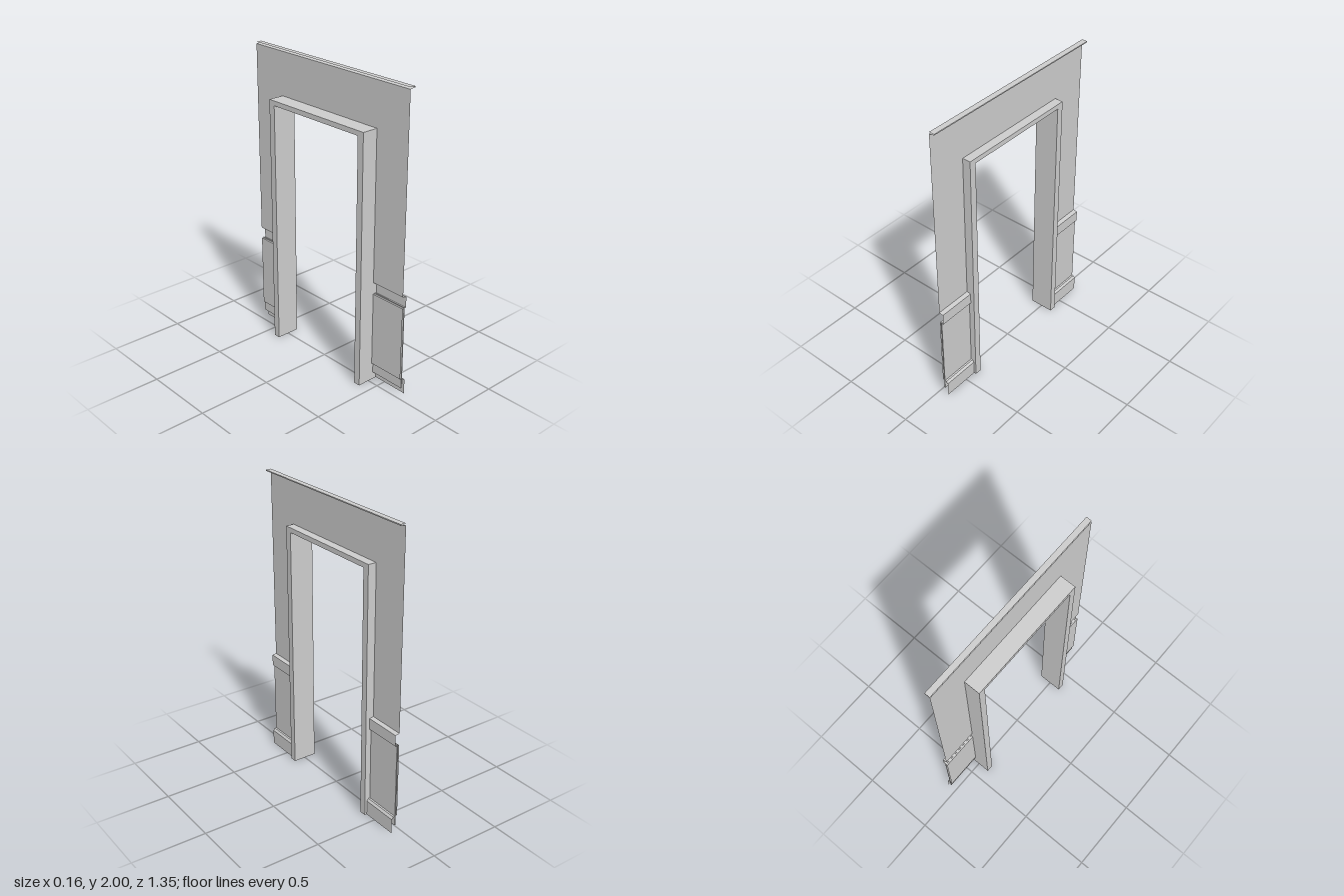
import * as THREE from 'three';

const material = new THREE.MeshStandardMaterial({ color: 0xcccccc, side: THREE.DoubleSide, flatShading: true });

// Skin a list of stations, each holding the same number of [x, y, z] points.
function skin(name, stations) {
  const pos = [];
  for (let i = 0; i < stations.length - 1; i++) {
    const a = stations[i], b = stations[i + 1];
    for (let j = 0; j < a.length - 1; j++) {
      pos.push(...a[j], ...b[j], ...a[j + 1], ...b[j], ...b[j + 1], ...a[j + 1]);
    }
  }
  const geometry = new THREE.BufferGeometry();
  geometry.setAttribute('position', new THREE.Float32BufferAttribute(pos, 3));
  geometry.computeVertexNormals();
  const mesh = new THREE.Mesh(geometry, material);
  mesh.name = name;
  return mesh;
}

// Run an [x, y] profile straight along z.
const run = (name, profile, z0, z1) =>
  skin(name, [z0, z1].map((z) => profile.map(([x, y]) => [x, y, z])));

export function createModel() {
  const group = new THREE.Group();
  const wallX = 0.026, halfLength = 0.674;
  const outerZ = 0.422, innerZ = 0.376, outerY = 1.7, innerY = 1.668, frameX = 0.082;

  // Wall profiles, from the top down
  const cornice = [[wallX, 2], [0.063, 2], [0.063, 1.993], [wallX, 1.988]];
  const chairRail = [[wallX, 0.7], [0.055, 0.695], [0.055, 0.62], [wallX, 0.62]];
  const skirting = [[wallX, 0.12], [0.054, 0.115], [0.066, 0.1], [0.066, 0]];

  group.add(run('cornice', cornice, -halfLength, halfLength));
  group.add(run('wallAboveDoor', [[wallX, 1.988], [wallX, outerY]], -halfLength, halfLength));

  // Wall beside the doorway, with rail, panel and skirting
  for (const [side, z0, z1] of [['left', outerZ, halfLength], ['right', -halfLength, -outerZ]]) {
    const sideWall = new THREE.Group();
    sideWall.name = side === 'left' ? 'wallTowardFront' : 'wallTowardBack';
    sideWall.add(run('upperWall', [[wallX, outerY], [wallX, 0.7]], z0, z1));
    sideWall.add(run('chairRail', chairRail, z0, z1));
    sideWall.add(run('lowerWall', [[wallX, 0.62], [wallX, 0.12]], z0, z1));
    sideWall.add(run('skirting', skirting, z0, z1));
    const panel = new THREE.Mesh(new THREE.BoxGeometry(0.006, 0.575, z1 - z0), material);
    panel.position.set(0.04, 0.3375, (z0 + z1) / 2);
    panel.name = 'panel';
    sideWall.add(panel);
    group.add(sideWall);
  }

  // Hollow mitred door frame, open at the floor
  const corners = [[1, 0], [1, 1], [-1, 1], [-1, 0]];
  group.add(skin('doorFrame', corners.map(([s, top]) => {
    const outer = [top * outerY, s * outerZ], inner = [top * innerY, s * innerZ];
    return [
      [frameX, ...outer], [-frameX, ...outer], [-frameX, ...inner], [frameX, ...inner], [frameX, ...outer],
    ];
  })));

  return group;
}
